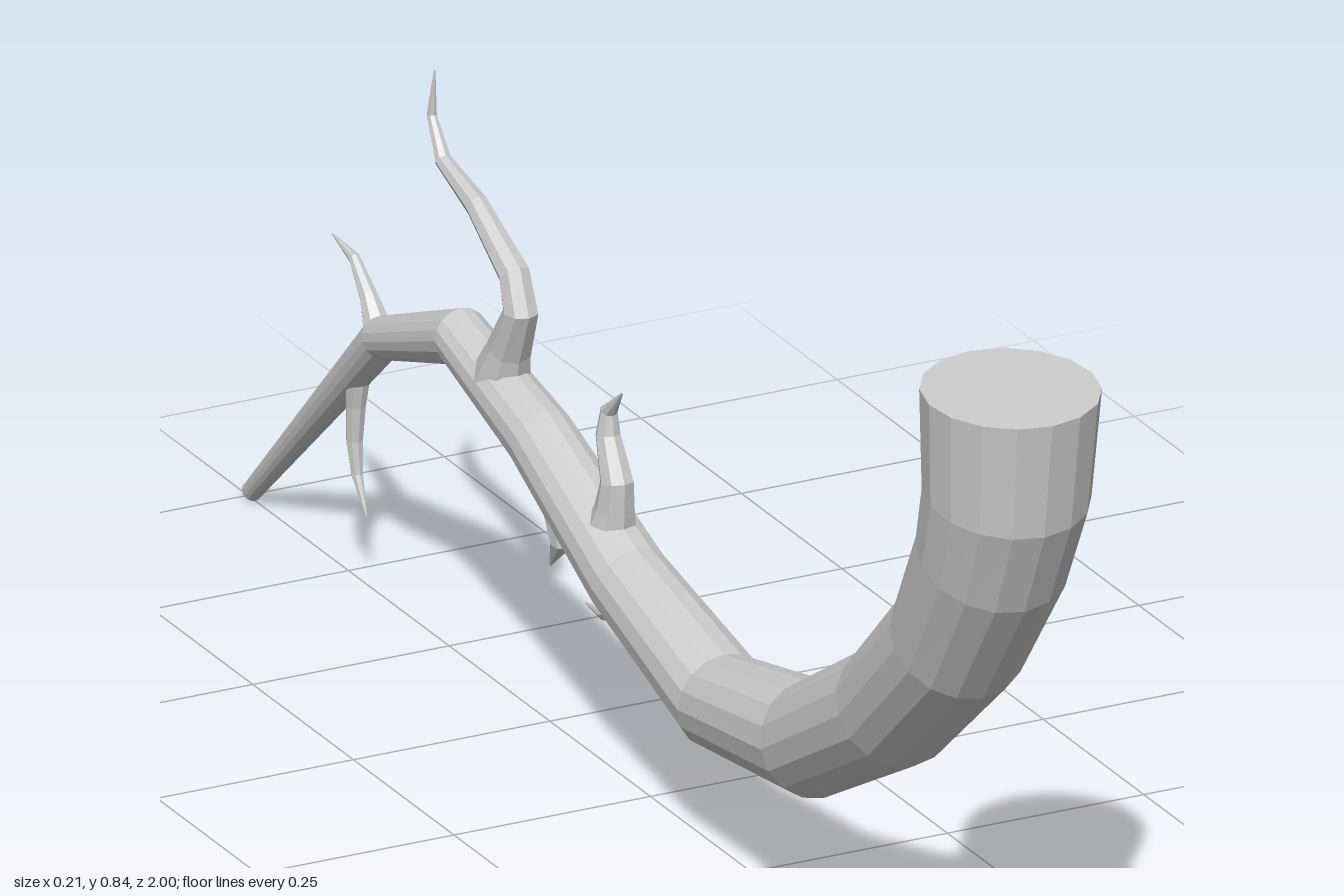
import * as THREE from 'three';

const material = new THREE.MeshStandardMaterial({ color: 0xcccccc, flatShading: true });

// Faceted tapering limb through stations [z, y, radius, x = 0], capped at both ends
function limb(name, stations, sides) {
  const centres = stations.map(([z, y, , x = 0]) => new THREE.Vector3(x, y, z));
  const last = centres.length - 1;
  const pos = [];
  const index = [];
  centres.forEach((c, i) => {
    // Average the directions of the two neighbouring segments
    const t = new THREE.Vector3();
    if (i > 0) t.add(c.clone().sub(centres[i - 1]).normalize());
    if (i < last) t.add(centres[i + 1].clone().sub(c).normalize());
    t.normalize();
    const up = t.clone().cross(new THREE.Vector3(1, 0, 0)).normalize();
    const side = up.clone().cross(t);
    for (let j = 0; j < sides; j++) {
      const a = (j / sides) * Math.PI * 2;
      const p = c.clone()
        .addScaledVector(side, Math.cos(a) * stations[i][2])
        .addScaledVector(up, Math.sin(a) * stations[i][2]);
      pos.push(p.x, p.y, p.z);
    }
  });
  const start = pos.length / 3;
  pos.push(...centres[0].toArray(), ...centres[last].toArray());
  for (let j = 0; j < sides; j++) {
    const k = (j + 1) % sides;
    for (let i = 0; i < last; i++) {
      const a = i * sides, b = a + sides;
      index.push(a + j, a + k, b + k, a + j, b + k, b + j);
    }
    index.push(start, k, j, start + 1, last * sides + j, last * sides + k);
  }
  const g = new THREE.BufferGeometry();
  g.setAttribute('position', new THREE.Float32BufferAttribute(pos, 3));
  g.setIndex(index);
  const flat = g.toNonIndexed();
  flat.computeVertexNormals();
  const mesh = new THREE.Mesh(flat, material);
  mesh.name = name;
  return mesh;
}

export function createModel() {
  const group = new THREE.Group();
  group.name = 'bareBranch';

  // Main bough: thick cut end, sagging curve, hump, then a thin drooping tip
  group.add(limb('mainBough', [
    [0.895, 0.83, 0.104], [0.885, 0.70, 0.097], [0.85, 0.61, 0.09], [0.764, 0.477, 0.081],
    [0.611, 0.338, 0.074], [0.407, 0.22, 0.068], [0.18, 0.183, 0.058], [-0.05, 0.244, 0.049],
    [-0.27, 0.338, 0.041], [-0.47, 0.39, 0.034], [-0.665, 0.316, 0.026], [-0.99, 0.008, 0.012],
  ], 16));

  // Twigs above the bough
  group.add(limb('largeUpperTwig', [
    [-0.37, 0.375, 0.036], [-0.35, 0.42, 0.026], [-0.322, 0.475, 0.021], [-0.338, 0.515, 0.019],
    [-0.43, 0.565, 0.014], [-0.515, 0.59, 0.01], [-0.543, 0.635, 0.006], [-0.536, 0.692, 0.001],
  ], 8));
  group.add(limb('smallUpperTwig', [
    [-0.1, 0.28, 0.034], [-0.088, 0.32, 0.024], [-0.083, 0.355, 0.02],
    [-0.105, 0.405, 0.015], [-0.103, 0.435, 0.01], [-0.07, 0.468, 0.001],
  ], 8));
  group.add(limb('tipUpperTwig', [
    [-0.675, 0.32, 0.018], [-0.7, 0.355, 0.011], [-0.735, 0.388, 0.007], [-0.79, 0.398, 0.001],
  ], 8));

  // Twigs below the bough
  group.add(limb('middleLowerTwig', [
    [-0.25, 0.325, 0.03, 0.01], [-0.268, 0.28, 0.023, 0.022], [-0.287, 0.235, 0.018, 0.03],
    [-0.283, 0.2, 0.014, 0.032], [-0.307, 0.164, 0.001, 0.03],
  ], 8));
  group.add(limb('smallLowerTwig', [
    [-0.06, 0.225, 0.018], [-0.085, 0.195, 0.012], [-0.115, 0.18, 0.007], [-0.16, 0.178, 0.001],
  ], 8));
  group.add(limb('tipLowerTwig', [
    [-0.725, 0.26, 0.016], [-0.732, 0.21, 0.012], [-0.735, 0.165, 0.01],
    [-0.728, 0.125, 0.007], [-0.705, 0.082, 0.001],
  ], 8));

  return group;
}
